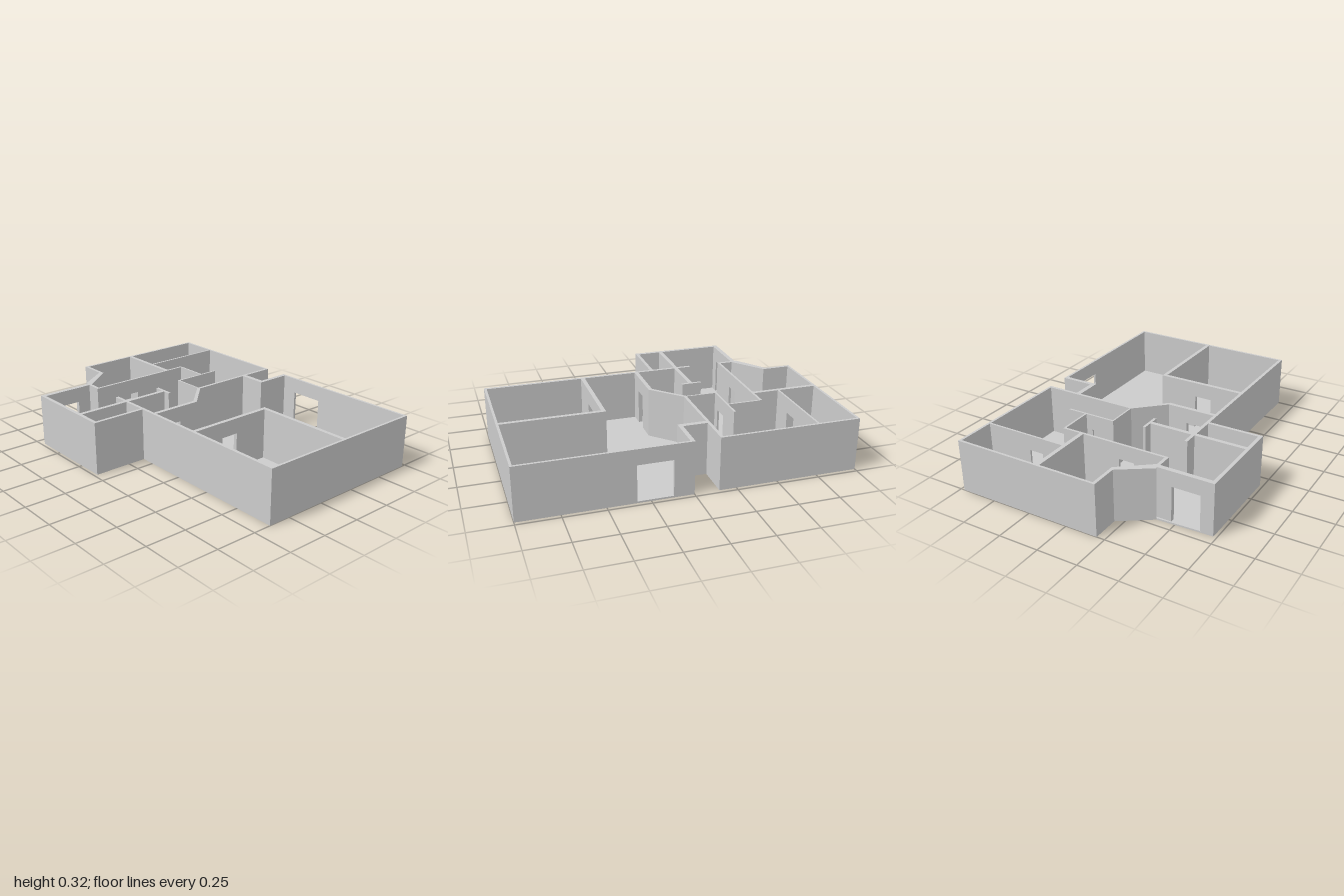
import * as THREE from 'three';

const HEIGHT = 0.325, FLOOR = 0.01, DOOR_TOP = 0.23;
const material = new THREE.MeshStandardMaterial({ color: 0xcccccc, flatShading: true });

// Upright prism over a plan outline given as [x, z] corners
function prism(name, plan, y0, y1) {
  const shape = new THREE.Shape(plan.map(([x, z]) => new THREE.Vector2(x, -z)));
  const geo = new THREE.ExtrudeGeometry(shape, { depth: y1 - y0, bevelEnabled: false });
  geo.rotateX(-Math.PI / 2).translate(0, y0, 0);
  const mesh = new THREE.Mesh(geo, material);
  mesh.name = name;
  return mesh;
}

// Straight wall over the rectangle x0..x1, z0..z1; each door is a [start, end] span along it
function wall(name, x0, x1, z0, z1, doors = []) {
  const alongX = x1 - x0 > z1 - z0;
  const [a, b] = alongX ? [x0, x1] : [z0, z1];
  const shape = new THREE.Shape();
  shape.moveTo(a, FLOOR);
  for (const [s, e] of doors) {
    shape.lineTo(s, FLOOR);
    shape.lineTo(s, DOOR_TOP);
    shape.lineTo(e, DOOR_TOP);
    shape.lineTo(e, FLOOR);
  }
  shape.lineTo(b, FLOOR);
  shape.lineTo(b, HEIGHT);
  shape.lineTo(a, HEIGHT);
  const depth = alongX ? z1 - z0 : x1 - x0;
  const geo = new THREE.ExtrudeGeometry(shape, { depth, bevelEnabled: false });
  if (alongX) geo.translate(0, 0, z0);
  else geo.rotateY(-Math.PI / 2).translate(x1, 0, 0);
  const mesh = new THREE.Mesh(geo, material);
  mesh.name = name;
  return mesh;
}

export function createModel() {
  const house = new THREE.Group();
  house.name = 'floorPlan';

  // Floor slab
  house.add(prism('floor', [
    [-0.2, -1], [0.725, -1], [0.725, -0.147], [0.52, -0.147], [0.52, 0], [0.725, 0], [0.725, 1],
    [-0.39, 1], [-0.39, -0.085], [-0.73, -0.085], [-0.73, -0.685], [-0.39, -0.7], [-0.2, -0.83],
  ], 0, FLOOR));

  // Outer walls
  const outer = new THREE.Group();
  outer.name = 'outerWalls';
  outer.add(
    wall('backWall', -0.2, 0.725, -1, -0.985),
    wall('backCornerWall', -0.2, -0.18, -0.985, -0.81),
    prism('angledBackWall', [[-0.39, -0.7], [-0.2, -0.83], [-0.18, -0.81], [-0.37, -0.66]], FLOOR, HEIGHT),
    wall('wingBackWall', -0.73, -0.37, -0.688, -0.66, [[-0.65, -0.475]]),
    wall('wingSideWall', -0.73, -0.708, -0.66, -0.105),
    wall('wingFrontWall', -0.73, -0.39, -0.105, -0.085),
    wall('mainSideWall', -0.39, -0.37, -0.36, 0.985),
    wall('frontWall', -0.39, 0.725, 0.985, 1),
    wall('livingSideWall', 0.71, 0.725, 0.025, 0.985, [[0.12, 0.33]]),
    wall('recessFrontWall', 0.49, 0.725, 0, 0.025),
    wall('recessInnerWall', 0.49, 0.52, -0.147, 0),
    wall('bedroomSideWall', 0.71, 0.725, -0.985, -0.165),
  );

  // Partitions between the rooms
  const inner = new THREE.Group();
  inner.name = 'partitions';
  inner.add(
    wall('backRoomDivider', 0.165, 0.19, -0.985, -0.565),
    wall('backBedroomPartition', 0.19, 0.71, -0.75, -0.738, [[0.33, 0.42]]),
    wall('corridorBackWall', -0.39, 0.305, -0.58, -0.565, [[-0.173, -0.075]]),
    wall('backRoomSideWall', -0.39, -0.37, -0.66, -0.58),
    wall('corridorEndWall', 0.295, 0.307, -0.565, -0.36),
    wall('closetBackWall', 0.105, 0.42, -0.362, -0.35, [[0.16, 0.255]]),
    wall('closetSideWall', 0.105, 0.115, -0.35, -0.165),
    wall('closetFrontWall', 0.105, 0.725, -0.165, -0.147),
    prism('angledPartition', [[-0.066, 0], [0.105, -0.165], [0.115, -0.147], [-0.06, 0.025]], FLOOR, HEIGHT),
    wall('smallRoomFrontWall', -0.37, -0.06, 0, 0.025, [[-0.282, -0.19]]),
    wall('wingPartition', -0.708, -0.39, -0.275, -0.25),
    wall('smallRoomBackWall', -0.37, -0.095, -0.275, -0.25),
    wall('smallRoomEndWall', -0.097, -0.08, -0.33, -0.205),
    wall('frontRoomBackWall', -0.37, 0.19, 0.36, 0.385, [[-0.17, -0.058]]),
    wall('frontRoomSideWall', 0.165, 0.19, 0.385, 0.985),
  );

  house.add(outer, inner);
  return house;
}
